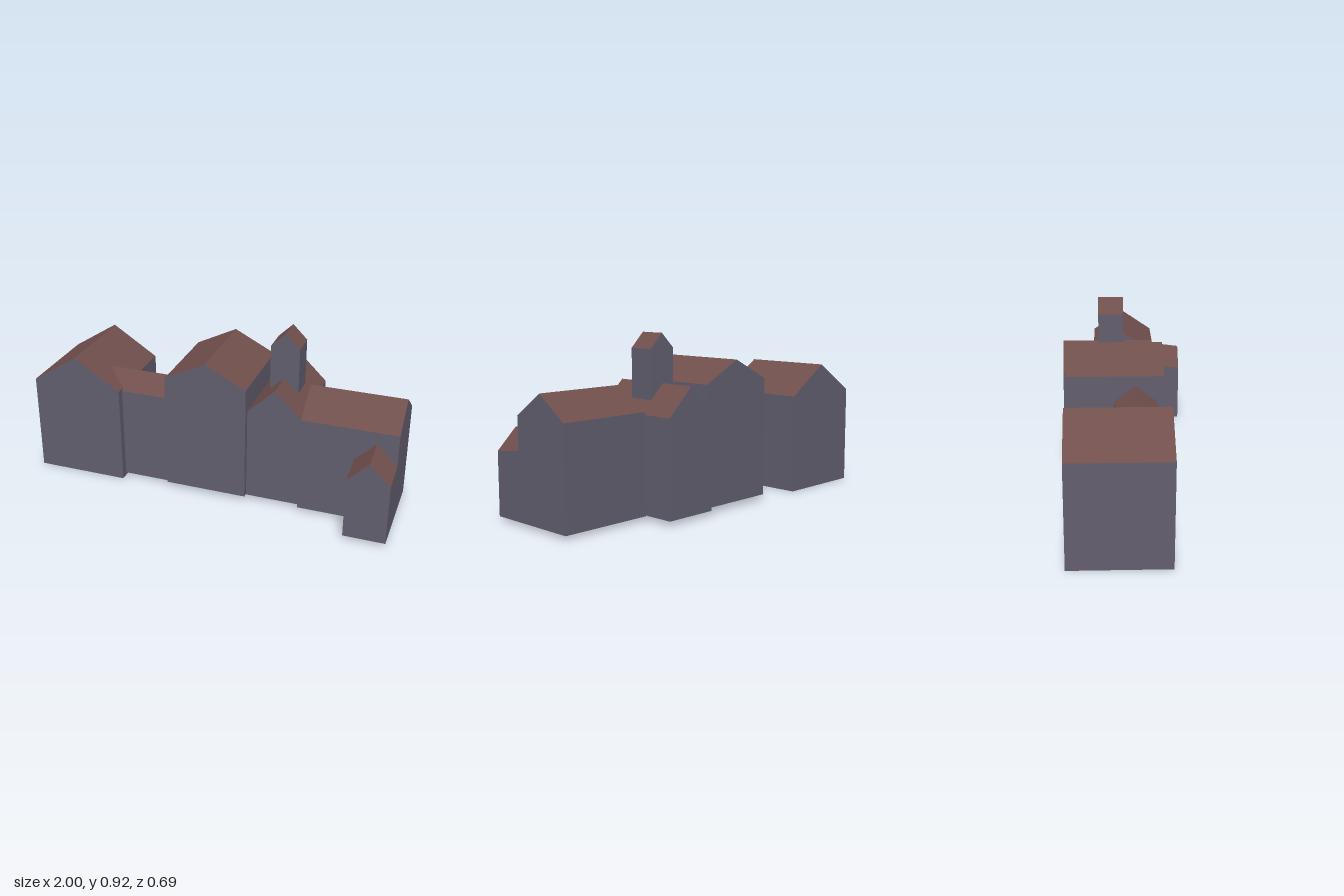
import * as THREE from 'three';

const wall = new THREE.MeshStandardMaterial({ name: 'greyWall', color: 0x625e6e, side: THREE.DoubleSide });
const roof = new THREE.MeshStandardMaterial({ name: 'redRoof', color: 0x704f4c, side: THREE.DoubleSide });

function facetMesh(name, material, points) {
  const geo = new THREE.BufferGeometry();
  geo.setAttribute('position', new THREE.Float32BufferAttribute(points.flat(), 3));
  geo.computeVertexNormals();
  const mesh = new THREE.Mesh(geo, material);
  mesh.name = name;
  return mesh;
}

// Open-bottomed gabled block whose ridge runs along z, or along x when alongX is set.
// Spans: [x0, x1], [z0, z1]; heights: [base, eave, ridge]; frontDrop lowers the front of the roof.
function gabledBlock(name, [x0, x1], [z0, z1], [base, eave, ridge], { alongX = false, frontDrop = 0, back = true } = {}) {
  const [l, r, near, far] = alongX ? [-z1, -z0, x1, x0] : [x0, x1, z1, z0];
  const section = (z, drop) => [
    [l, base], [r, base], [r, eave - drop], [(l + r) / 2, ridge - drop], [l, eave - drop],
  ].map(([x, y]) => (alongX ? [z, y, -x] : [x, y, z]));
  const f = section(near, frontDrop);
  const b = section(far, 0);
  const strip = (i) => {
    const j = (i + 1) % 5;
    return [f[i], b[i], b[j], f[i], b[j], f[j]];
  };
  const walls = [...strip(1), ...strip(4)];
  for (let i = 1; i < 4; i++) {
    walls.push(f[0], f[i], f[i + 1]);
    if (back) walls.push(b[0], b[i + 1], b[i]);
  }
  const group = new THREE.Group();
  group.name = name;
  group.add(facetMesh(name + 'Walls', wall, walls));
  group.add(facetMesh(name + 'Roof', roof, [...strip(2), ...strip(3)]));
  return group;
}

export function createModel() {
  const model = new THREE.Group();
  model.name = 'rowOfHouses';
  model.add(
    gabledBlock('endHouse', [-1, -0.5], [-0.31, 0.19], [0, 0.537, 0.698]),
    // Low link, running into the houses on both sides
    gabledBlock('linkHouse', [-0.75, -0.18], [-0.07, 0.148], [0.015, 0.525, 0.61], { alongX: true }),
    gabledBlock('tallHouse', [-0.235, 0.21], [-0.315, 0.185], [0.03, 0.66, 0.772]),
    gabledBlock('narrowHouse', [0.207, 0.5], [-0.345, 0.153], [0.024, 0.525, 0.667]),
    gabledBlock('tower', [0.28, 0.434], [-0.148, -0.01], [0.52, 0.84, 0.917]),
    gabledBlock('longHouse', [0.5, 1], [-0.175, 0.175], [0.02, 0.54, 0.66], { alongX: true }),
    // Porch with a roof sloping down to the front
    gabledBlock('porch', [0.782, 1], [0.175, 0.345], [0.02, 0.37, 0.478], { frontDrop: 0.022, back: false }),
  );
  return model;
}
